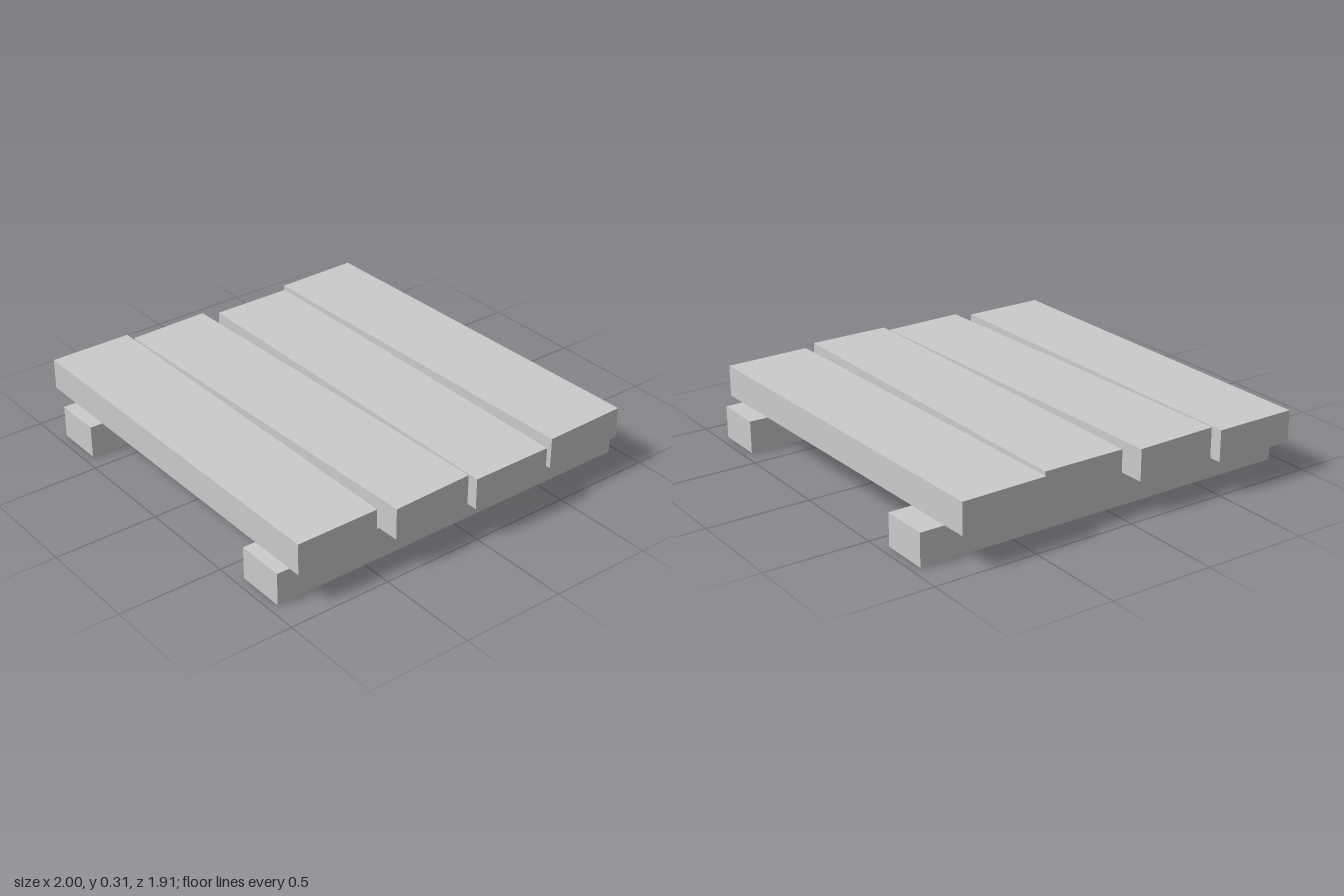
import * as THREE from 'three';

const material = new THREE.MeshStandardMaterial({
  color: 0xcccccc, flatShading: true, side: THREE.DoubleSide,
});

// Timber shell: a box with its underside left open
function timber(name, width, height, depth, x, baseY, z, turn = 0) {
  const geometry = new THREE.BoxGeometry(width, height, depth);
  const index = Array.from(geometry.index.array);
  index.splice(18, 6); // drop the -y face
  geometry.setIndex(index);
  geometry.clearGroups();
  const mesh = new THREE.Mesh(geometry, material);
  mesh.name = name;
  mesh.position.set(x, baseY + height / 2, z);
  mesh.rotation.y = turn;
  return mesh;
}

export function createModel() {
  const pallet = new THREE.Group();
  pallet.name = 'pallet';

  // Two bearers running front to back
  pallet.add(timber('rightBearer', 0.237, 0.157, 1.914, -0.711, 0, 0));
  pallet.add(timber('leftBearer', 0.237, 0.157, 1.914, 0.73, 0, 0));

  // Four loosely laid planks, back to front: x, z, depth, turn
  const planks = [
    [-0.002, -0.65, 0.42, 0.0196],
    [0.042, -0.19, 0.406, -0.003],
    [0.001, 0.252, 0.405, 0.0285],
    [-0.043, 0.695, 0.407, 0],
  ];
  planks.forEach(([x, z, depth, turn], i) => {
    pallet.add(timber(`plank${i + 1}`, 1.915, 0.151, depth, x, 0.162, z, turn));
  });

  return pallet;
}
